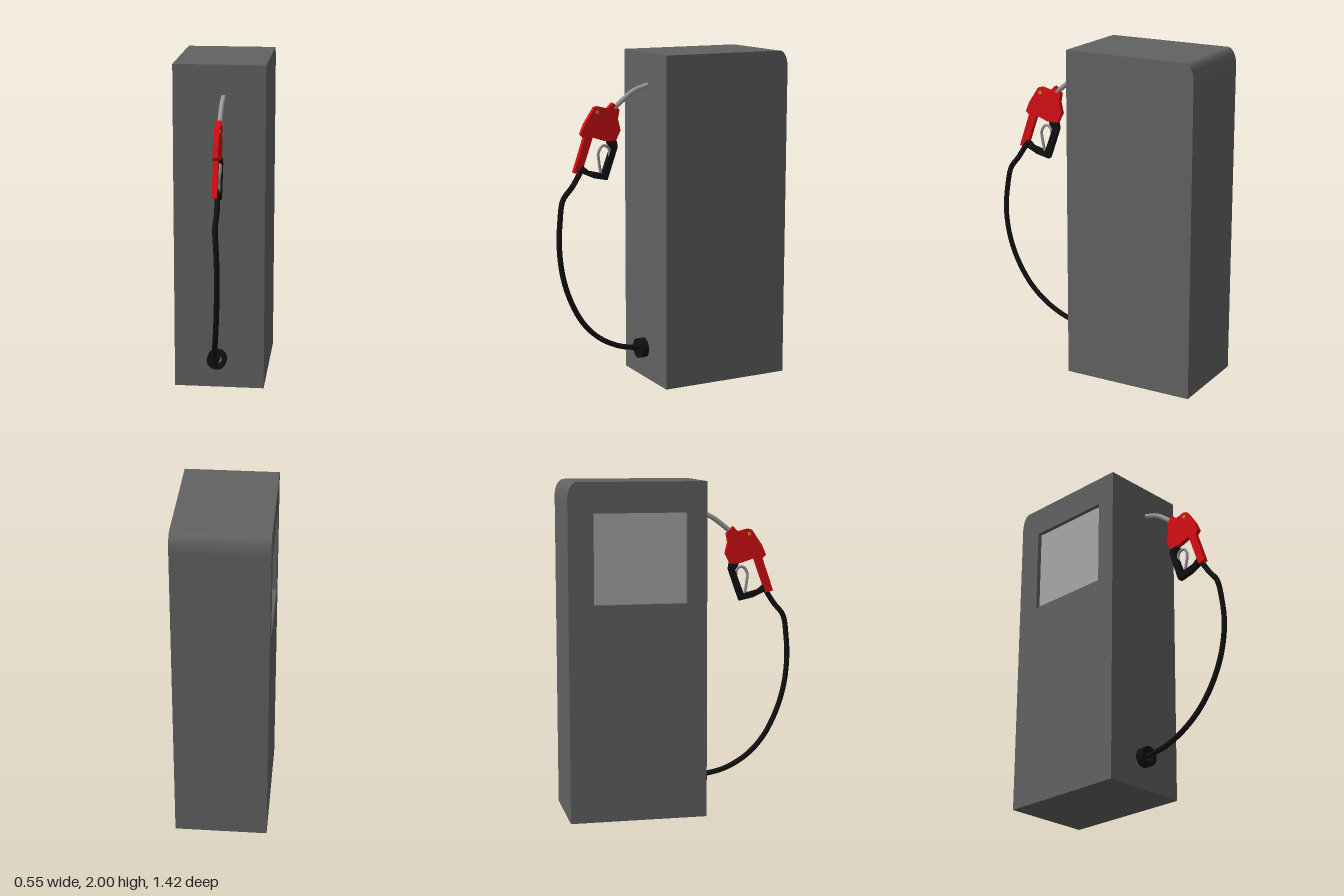
import * as THREE from 'three';

const mat = (color, flatShading = false) => new THREE.MeshStandardMaterial({ color, flatShading });
const V = (x, y, z) => new THREE.Vector3(x, y, z);

// Side outline given as [z, y] pairs
const outline = (pts) => new THREE.Shape(pts.map(([z, y]) => new THREE.Vector2(z, y)));

// Extrudes a side outline across x, from x0 to x1
function slab(shape, x0, x1, curveSegments = 6) {
  const geo = new THREE.ExtrudeGeometry(shape, { depth: x1 - x0, bevelEnabled: false, curveSegments });
  return geo.rotateY(-Math.PI / 2).translate(x1, 0, 0);
}

// Cabinet side: box with a rounded upper back edge
function cabinetShape() {
  const s = new THREE.Shape();
  s.moveTo(0.11, 0);
  s.lineTo(0.11, 2);
  s.lineTo(-0.655, 2);
  s.absellipse(-0.655, 1.9, 0.055, 0.1, Math.PI / 2, Math.PI, false);
  s.lineTo(-0.71, 0);
  s.closePath();
  return s;
}

export function createModel() {
  const group = new THREE.Group();
  const add = (name, geometry, material) => {
    const mesh = new THREE.Mesh(geometry, material);
    mesh.name = name;
    group.add(mesh);
    return mesh;
  };

  const cabinetMat = mat(0x626262, true);
  const red = mat(0xd80e14, true);
  const black = mat(0x111111);
  const blackFlat = mat(0x111111, true);
  const metal = mat(0x999999);

  // Cabinet core plus a thin side skin holding the screen opening
  add('cabinet', slab(cabinetShape(), -0.245, 0.275), cabinetMat);
  const skin = cabinetShape();
  skin.holes.push(outline([[-0.56, 1.29], [-0.01, 1.29], [-0.01, 1.82], [-0.56, 1.82]]));
  add('screenSidePanel', slab(skin, -0.275, -0.245), cabinetMat);

  // Recessed screen
  const screen = add('screen', new THREE.BoxGeometry(0.004, 0.53, 0.55), mat(0xa8a8a8));
  screen.position.set(-0.246, 1.555, -0.285);

  // Nozzle body and handle
  const nozzle = outline([
    [0.593, 1.319], [0.524, 1.52], [0.546, 1.541], [0.52, 1.6], [0.456, 1.695], [0.434, 1.7],
    [0.37, 1.684], [0.339, 1.716], [0.297, 1.674], [0.307, 1.62], [0.291, 1.552],
    [0.323, 1.488], [0.392, 1.494], [0.471, 1.52], [0.546, 1.308],
  ]);
  add('nozzleBody', slab(nozzle, 0.009, 0.039), red);

  // Pivot pin through the nozzle
  const pin = add('pivotPin', new THREE.CylinderGeometry(0.011, 0.011, 0.036, 12).rotateZ(Math.PI / 2), mat(0xc89a20));
  pin.position.set(0.024, 1.668, 0.44);

  // Hand guard
  const guard = outline([
    [0.375, 1.492], [0.32, 1.494], [0.313, 1.455], [0.381, 1.262], [0.466, 1.28], [0.519, 1.304],
    [0.56, 1.325], [0.54, 1.36], [0.498, 1.325], [0.408, 1.303], [0.352, 1.452], [0.371, 1.475],
  ]);
  add('handGuard', slab(guard, 0.012, 0.046), blackFlat);

  // Trigger loop
  const trigger = new THREE.CatmullRomCurve3([
    V(0.034, 1.40, 0.362), V(0.036, 1.455, 0.37), V(0.036, 1.468, 0.405),
    V(0.036, 1.43, 0.434), V(0.034, 1.37, 0.43), V(0.03, 1.305, 0.418),
  ]);
  add('trigger', new THREE.TubeGeometry(trigger, 24, 0.009, 8), metal);

  // Spout, bent and running into the cabinet
  const spout = new THREE.CatmullRomCurve3([
    V(0.026, 1.68, 0.33), V(0.026, 1.725, 0.275), V(0.026, 1.778, 0.2), V(0.026, 1.808, 0.11), V(0.026, 1.815, 0.08),
  ]);
  add('spout', new THREE.TubeGeometry(spout, 16, 0.015, 12), metal);

  // Hose hanging from the handle to the socket
  const hose = new THREE.CatmullRomCurve3([
    V(0.036, 1.34, 0.54), V(0.04, 1.24, 0.605), V(0.036, 1.165, 0.664), V(0.044, 1.04, 0.688),
    V(0.05, 0.89, 0.697), V(0.046, 0.72, 0.677), V(0.036, 0.56, 0.625), V(0.02, 0.41, 0.54),
    V(0.005, 0.3, 0.43), V(-0.004, 0.225, 0.29), V(-0.01, 0.197, 0.16), V(-0.01, 0.195, 0.1),
  ]);
  add('hose', new THREE.TubeGeometry(hose, 60, 0.016, 10), black);

  // Hose socket: an open ring on the cabinet front
  const ring = new THREE.Shape().absarc(0, 0, 0.06, 0, Math.PI * 2, false);
  ring.holes.push(new THREE.Path().absarc(0, 0, 0.036, 0, Math.PI * 2, true));
  const socket = add('hoseSocket', new THREE.ExtrudeGeometry(ring, { depth: 0.05, bevelEnabled: false, curveSegments: 16 }), black);
  socket.position.set(-0.012, 0.19, 0.11);

  return group;
}
